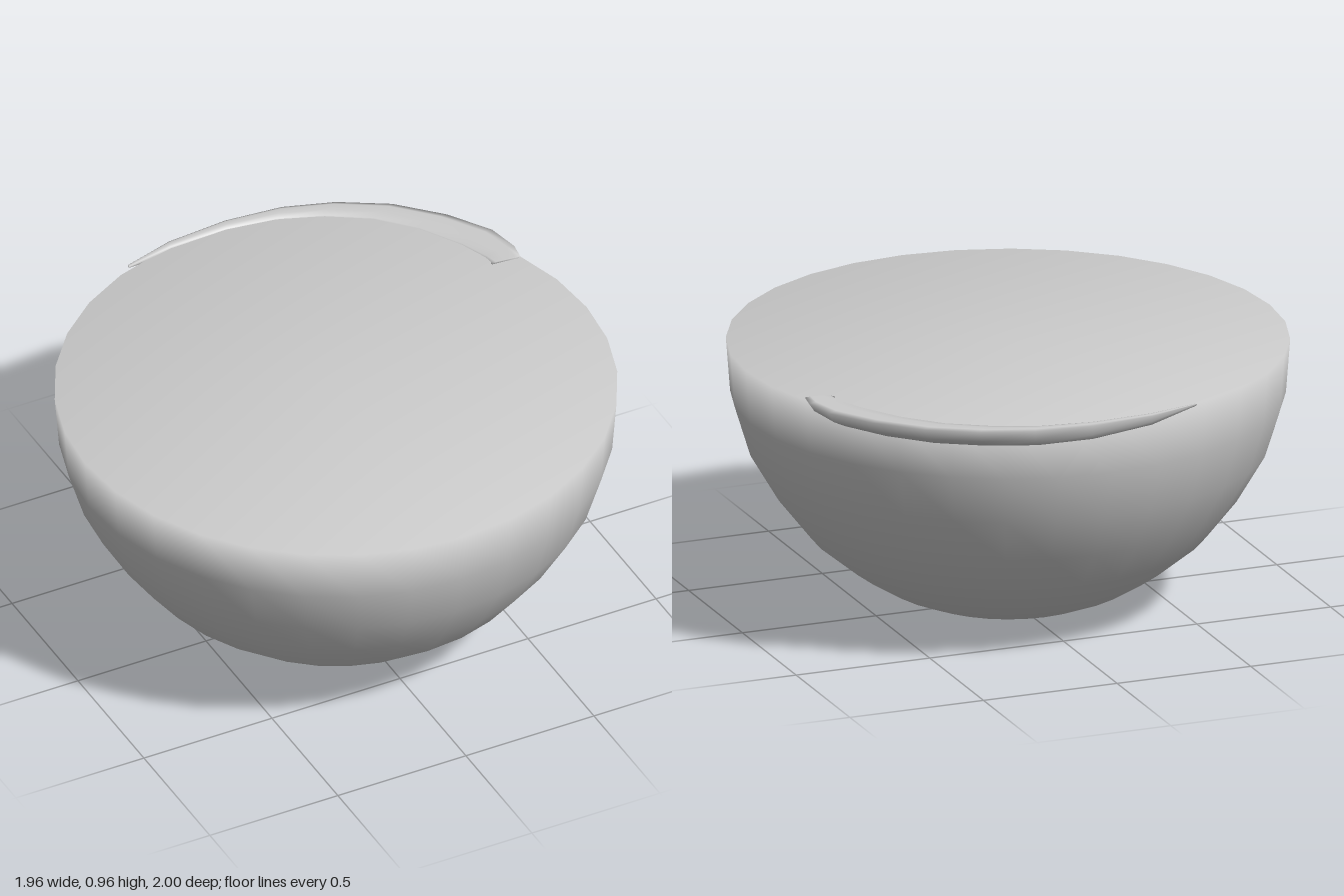
import * as THREE from 'three';

const material = new THREE.MeshStandardMaterial({ color: 0xcccccc });

// Closed round bowl: base, curved wall and a flat filled top, smooth all over
function makeBowl() {
  const profile = [
    [0, 0.005], [0.2, 0.014], [0.34, 0.038], [0.44, 0.08], [0.56, 0.155], [0.7, 0.27],
    [0.81, 0.41], [0.91, 0.58], [0.965, 0.76], [0.98, 0.955], [0, 0.955],
  ].map(([r, y]) => new THREE.Vector2(r, y));
  const bowl = new THREE.Mesh(new THREE.LatheGeometry(profile, 32), material);
  bowl.name = 'bowl';
  bowl.position.z = 0.015;
  return bowl;
}

// Crescent lip wrapped round the back left of the rim, thin at one end
function makeRimLip() {
  // each station: outer x, outer z, inner x, inner z, depth below the rim
  const stations = [
    [-0.33, -0.922, -0.33, -0.912, 0.008],
    [-0.14, -0.98, -0.15, -0.945, 0.04],
    [0.09, -1.0, 0.07, -0.95, 0.06],
    [0.3, -0.98, 0.25, -0.92, 0.066],
    [0.48, -0.92, 0.4, -0.86, 0.066],
    [0.65, -0.82, 0.54, -0.77, 0.066],
    [0.79, -0.68, 0.65, -0.65, 0.066],
    [0.89, -0.53, 0.74, -0.5, 0.064],
    [0.915, -0.41, 0.785, -0.4, 0.05],
    [0.905, -0.345, 0.8, -0.355, 0.02],
  ];
  // cross-section: fraction across from outer to inner, fraction of depth
  const section = [[0, 0.08], [0.2, 0], [0.55, 0], [0.85, 0.08], [1, 0.35], [0.85, 0.9], [0.45, 1], [0.15, 0.65]];
  const n = section.length, last = (stations.length - 1) * n;
  const positions = [], index = [];
  for (const [ox, oz, ix, iz, depth] of stations) {
    for (const [across, down] of section) {
      positions.push(ox + (ix - ox) * across, 0.963 - depth * down, oz + (iz - oz) * across);
    }
  }
  for (let i = 0; i < stations.length - 1; i++) {
    for (let j = 0; j < n; j++) {
      const a = i * n + j, b = i * n + (j + 1) % n;
      index.push(a, b, a + n, b, b + n, a + n);
    }
  }
  // end caps
  for (let j = 1; j < n - 1; j++) {
    index.push(0, j + 1, j, last, last + j, last + j + 1);
  }
  const geometry = new THREE.BufferGeometry();
  geometry.setAttribute('position', new THREE.Float32BufferAttribute(positions, 3));
  geometry.setIndex(index);
  geometry.computeVertexNormals();
  const lip = new THREE.Mesh(geometry, material);
  lip.name = 'rimLip';
  return lip;
}

export function createModel() {
  const group = new THREE.Group();
  group.name = 'bowlWithLip';
  group.add(makeBowl(), makeRimLip());
  return group;
}
